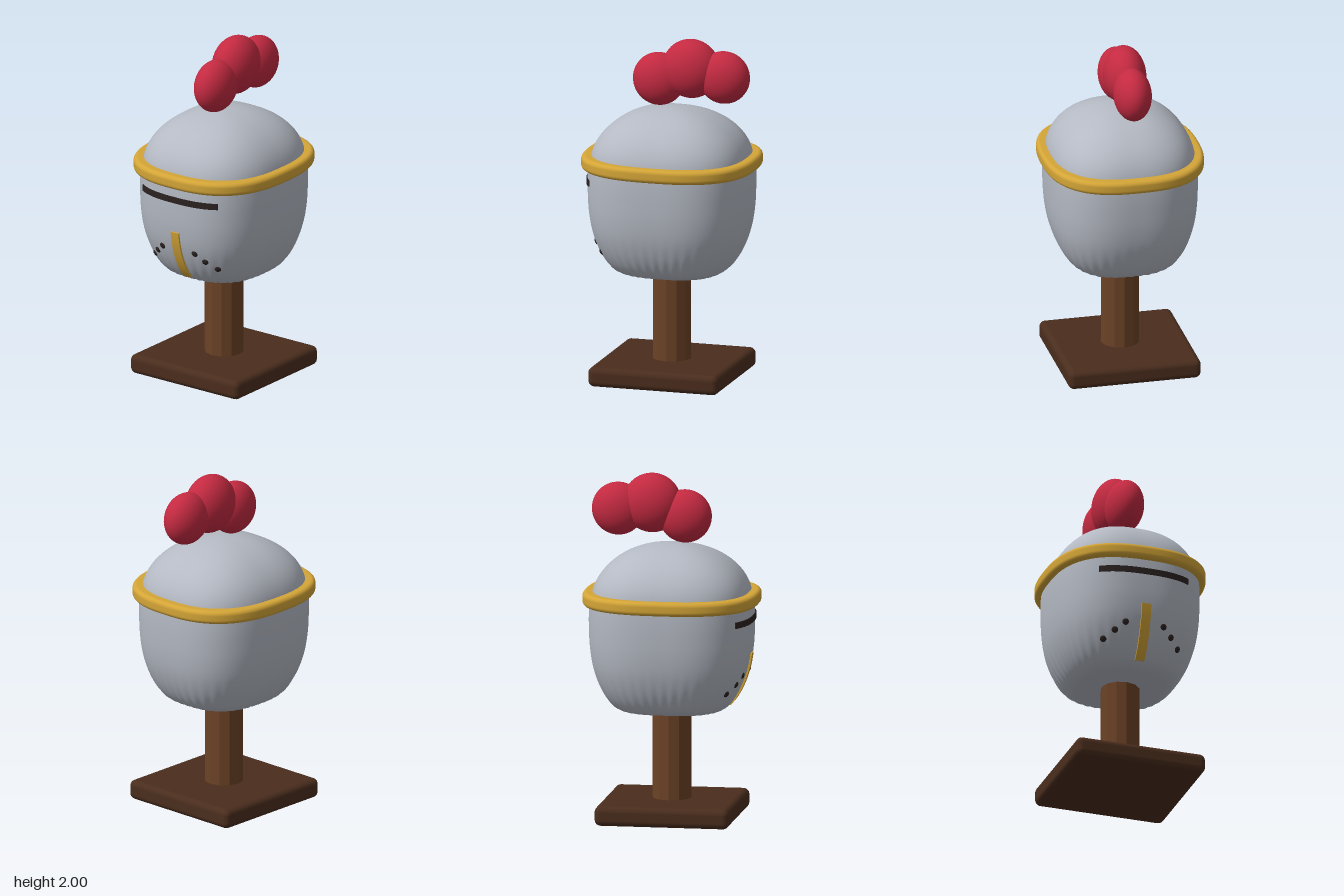
import * as THREE from 'three';
import { RoundedBoxGeometry } from 'three/addons/geometries/RoundedBoxGeometry.js';

const A = 0.43, B = 0.47, N = 2.6, SEG = 200;

// Radius of the rounded-square helmet outline at angle t
const outline = (t) =>
  Math.pow(Math.pow(Math.abs(Math.cos(t)) / A, N) + Math.pow(Math.abs(Math.sin(t)) / B, N), -1 / N);

// Skin a list of [scale, y, ripple] sections, running upwards on the outside
function loft(sections) {
  const pos = [], idx = [];
  for (const [s, y, ripple = 0] of sections) {
    for (let i = 0; i < SEG; i++) {
      const t = (i / SEG) * Math.PI * 2;
      const r = outline(t) * s * (1 + ripple * Math.cos(40 * t));
      pos.push(r * Math.cos(t), y, r * Math.sin(t));
    }
  }
  for (let j = 0; j < sections.length - 1; j++) {
    for (let i = 0; i < SEG; i++) {
      const a = j * SEG + i, b = j * SEG + ((i + 1) % SEG);
      idx.push(a, a + SEG, b, b, a + SEG, b + SEG);
    }
  }
  const g = new THREE.BufferGeometry();
  g.setAttribute('position', new THREE.Float32BufferAttribute(pos, 3));
  g.setIndex(idx);
  g.computeVertexNormals();
  return g;
}

// Side profile of the bowl: scale against height
const bowlProfile = new THREE.CatmullRomCurve3([
  [0.5, 0.63], [0.6, 0.634], [0.7, 0.66], [0.79, 0.71], [0.88, 0.79], [0.95, 0.89],
  [0.987, 1.0], [1, 1.12], [1, 1.2], [0.99, 1.3],
].map(([s, y]) => new THREE.Vector3(s, y, 0))).getPoints(50);

// Depth of the front surface at a given x and y
function frontZ(x, y) {
  let k = 1;
  while (k < bowlProfile.length - 1 && bowlProfile[k].y < y) k++;
  const p = bowlProfile[k - 1], q = bowlProfile[k];
  const s = THREE.MathUtils.lerp(p.x, q.x, (y - p.y) / (q.y - p.y));
  return B * s * Math.pow(Math.max(0, 1 - Math.pow(Math.abs(x) / (A * s), N)), 1 / N);
}

// Flat bar bent to follow the front of the bowl
function bentBar(w, h, d, y, nx, ny, proud) {
  const g = new THREE.BoxGeometry(w, h, d, nx, ny, 1).translate(0, y, proud - d / 2);
  const p = g.attributes.position;
  for (let i = 0; i < p.count; i++) p.setZ(i, p.getZ(i) + frontZ(p.getX(i), p.getY(i)));
  g.computeVertexNormals();
  return g;
}

export function createModel() {
  const model = new THREE.Group();
  const mat = (color, extra = {}) => new THREE.MeshStandardMaterial({ color, ...extra });
  const steel = mat(0xb4b9c3), gold = mat(0xd4a537), red = mat(0xc42a41);
  const wood = mat(0x6b4226, { flatShading: true }), darkWood = mat(0x4a2d1d), dark = mat(0x2a2220);
  const add = (name, geometry, material, x = 0, y = 0, z = 0, parent = model) => {
    const m = new THREE.Mesh(geometry, material);
    m.name = name;
    m.position.set(x, y, z);
    parent.add(m);
    return m;
  };

  // Stand
  add('standBase', new RoundedBoxGeometry(0.78, 0.115, 0.78, 4, 0.035), darkWood, 0, 0.0575, 0);
  add('standPost', new THREE.CylinderGeometry(0.113, 0.113, 0.7, 12), wood, 0, 0.36, 0);

  // Helmet bowl, pleated towards its closed underside
  const bowl = [[0.001, 0.63], [0.25, 0.63]];
  for (const p of bowlProfile) {
    const fade = THREE.MathUtils.clamp((0.95 - p.y) / 0.3, 0, 1);
    bowl.push([p.x, p.y, 0.012 * fade * fade]);
  }
  add('helmetBowl', loft(bowl), steel);

  // Dome
  const dome = [];
  for (let i = 0; i <= 24; i++) {
    const t = (i / 24) * Math.PI / 2;
    dome.push([Math.max(0.001, 0.97 * Math.cos(t)), 1.27 + 0.328 * Math.sin(t)]);
  }
  add('helmetDome', loft(dome), steel);

  // Brow band: rounded section swept round the helmet
  const band = [[0.92, 1.245]];
  const corner = (cy, from) => {
    for (let i = 0; i <= 6; i++) {
      const t = from + (i / 6) * Math.PI / 2;
      band.push([1.022 + 0.056 * Math.cos(t), cy + 0.026 * Math.sin(t)]);
    }
  };
  corner(1.271, -Math.PI / 2);
  corner(1.299, 0);
  band.push([0.92, 1.325]);
  add('browBand', loft(band), gold);

  // Face details
  add('eyeSlit', bentBar(0.54, 0.036, 0.03, 1.172, 32, 1, 0.007), dark);
  add('noseStrip', bentBar(0.056, 0.305, 0.04, 0.818, 2, 24, 0.01), gold);
  const holes = new THREE.Group();
  holes.name = 'breathHoles';
  model.add(holes);
  for (const side of [-1, 1]) {
    for (let i = 0; i < 3; i++) {
      const x = 0.115 + i * 0.055, y = 0.855 - i * 0.046;
      const e = 0.005, z = frontZ(x, y);
      const hole = add('breathHole', new THREE.SphereGeometry(0.019, 16, 12), dark, side * x, y, z, holes);
      // Flatten the stud along the surface normal
      const n = new THREE.Vector3(
        side * (z - frontZ(x + e, y)) / e, (z - frontZ(x, y + e)) / e, 1).normalize();
      hole.quaternion.setFromUnitVectors(new THREE.Vector3(0, 0, 1), n);
      hole.scale.z = 0.45;
    }
  }

  // Plume of three overlapping puffs: [y, z, rx, ry, rz]
  const plume = new THREE.Group();
  plume.name = 'plume';
  model.add(plume);
  for (const [y, z, rx, ry, rz] of [
    [1.755, 0.077, 0.108, 0.154, 0.154],
    [1.828, -0.115, 0.122, 0.172, 0.17],
    [1.789, -0.312, 0.108, 0.153, 0.153],
  ]) {
    add('plumePuff', new THREE.SphereGeometry(1, 40, 28), red, 0, y, z, plume).scale.set(rx, ry, rz);
  }
  return model;
}
